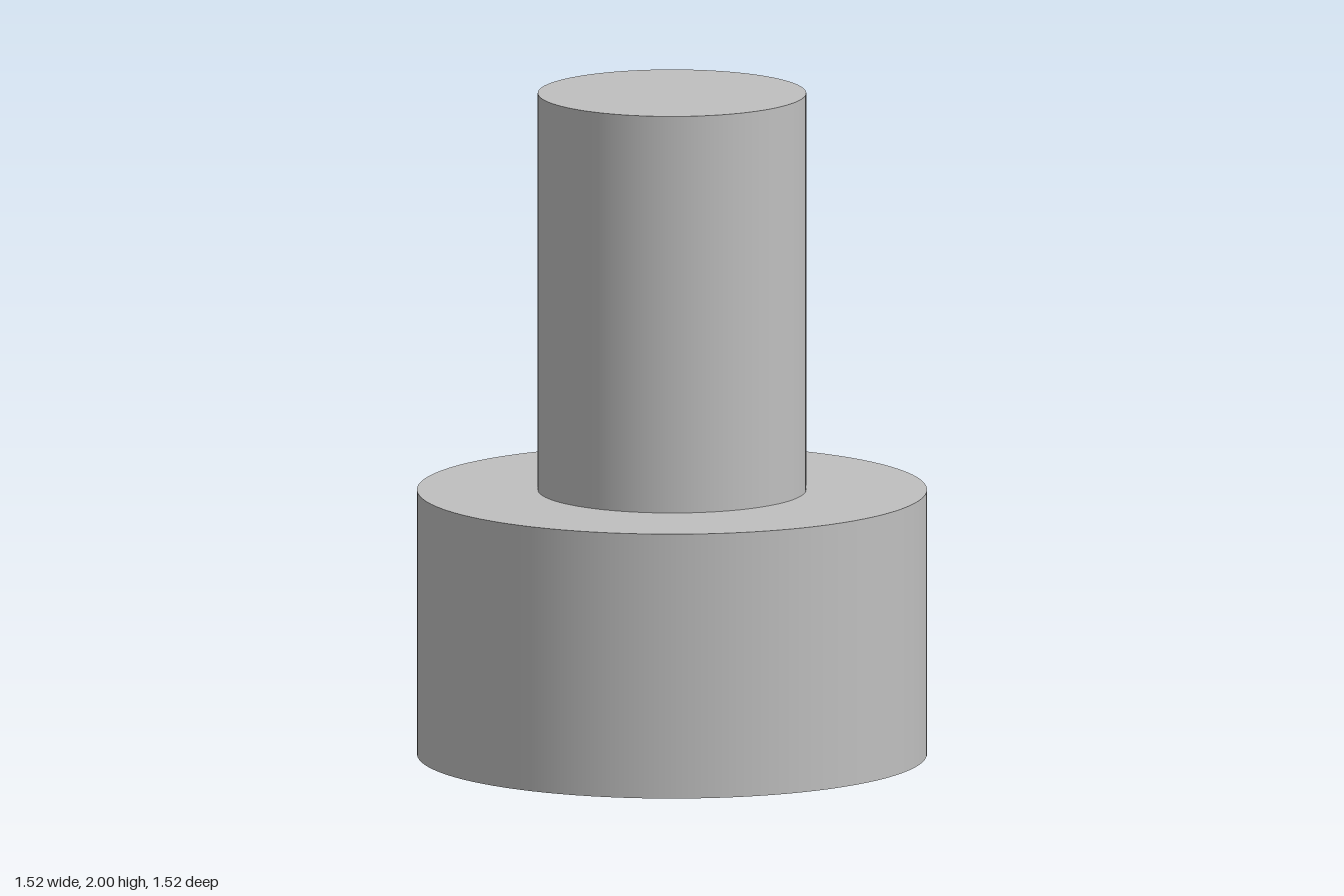
import * as THREE from 'three';

const SHAFT_R = 0.4, HEAD_R = 0.76, HEAD_H = 0.8, TOTAL_H = 2;
const SOCKET_R = 0.6 / Math.sqrt(3), SOCKET_DEPTH = 0.4; // 0.6 across flats
const SEGMENTS = 96;

// Regular polygon outline with a corner on +x
function polygon(radius, sides, PathType) {
  const points = [];
  for (let i = 0; i < sides; i++) {
    const a = (i / sides) * Math.PI * 2;
    points.push(new THREE.Vector2(Math.cos(a) * radius, Math.sin(a) * radius));
  }
  return new PathType(points);
}

// Flat horizontal face, optionally with a hole, facing up (1) or down (-1)
function plate(outer, hole, y, facing) {
  if (hole) outer.holes.push(hole);
  return new THREE.ShapeGeometry(outer).rotateX(-facing * Math.PI / 2).translate(0, y, 0);
}

// Open cylinder wall between two heights
function wall(radius, y0, y1, sides) {
  return new THREE.CylinderGeometry(radius, radius, y1 - y0, sides, 1, true, Math.PI / 2)
    .translate(0, (y0 + y1) / 2, 0);
}

export function createModel() {
  const steel = new THREE.MeshStandardMaterial({ color: 0xbfbfbf });
  steel.name = 'steel grey';

  const model = new THREE.Group();
  model.name = 'socketHeadScrew';
  const add = (name, geometry) => {
    const mesh = new THREE.Mesh(geometry, steel);
    mesh.name = name;
    model.add(mesh);
  };
  const circle = (r, Type = THREE.Shape) => polygon(r, SEGMENTS, Type);

  // Shaft
  add('shaftWall', wall(SHAFT_R, HEAD_H, TOTAL_H, SEGMENTS));
  add('shaftEnd', plate(circle(SHAFT_R), null, TOTAL_H, 1));

  // Head
  add('headWall', wall(HEAD_R, 0, HEAD_H, SEGMENTS));
  add('headShoulder', plate(circle(HEAD_R), circle(SHAFT_R, THREE.Path), HEAD_H, 1));
  add('headFace', plate(circle(HEAD_R), polygon(SOCKET_R, 6, THREE.Path), 0, -1));

  // Hexagonal socket, mirrored so its walls face inward
  const socket = wall(SOCKET_R, 0, SOCKET_DEPTH, 6).toNonIndexed().scale(-1, 1, 1);
  socket.computeVertexNormals();
  add('socketWall', socket);
  add('socketFloor', plate(polygon(SOCKET_R, 6, THREE.Shape), null, SOCKET_DEPTH, -1));

  return model;
}
